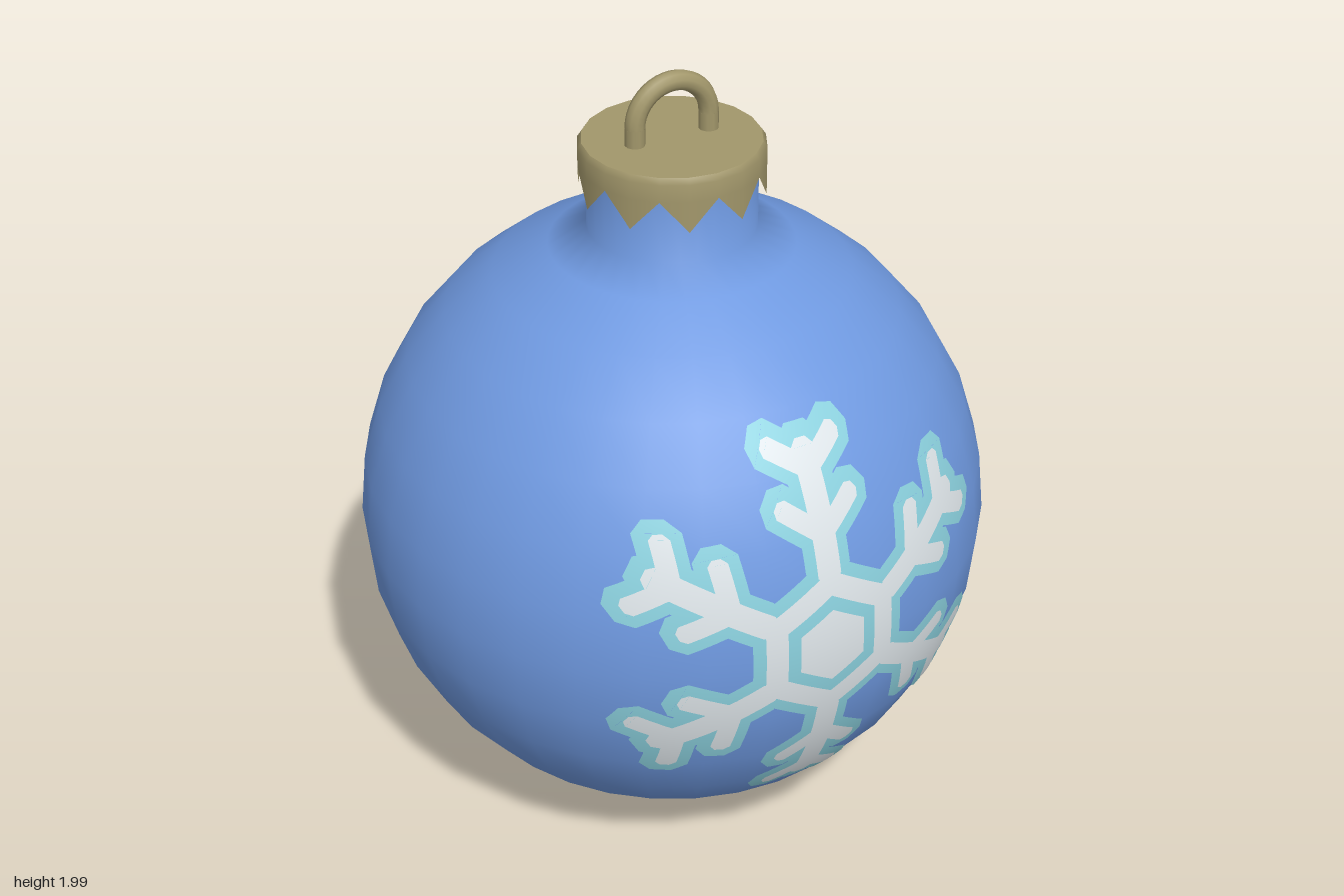
import * as THREE from 'three';
import { mergeGeometries } from 'three/addons/utils/BufferGeometryUtils.js';

const RADIUS = 0.8, CENTRE_Y = 0.81, FLAKE_Y = 0.84;

// Four-cornered patch (counter-clockwise), laid on the ball at a small lift
function patch(a, b, c, d, lift) {
  const nx = Math.max(1, Math.ceil(a.distanceTo(b) / 0.04));
  const ny = Math.max(1, Math.ceil(b.distanceTo(c) / 0.04));
  const geo = new THREE.PlaneGeometry(1, 1, nx, ny);
  const pos = geo.attributes.position, nor = geo.attributes.normal;
  const p = new THREE.Vector3();
  for (let i = 0; i < pos.count; i++) {
    const u = pos.getX(i) + 0.5, v = pos.getY(i) + 0.5;
    const low = a.clone().lerp(b, u), high = d.clone().lerp(c, u);
    const q = low.lerp(high, v);
    const y = q.y + FLAKE_Y - CENTRE_Y, r = RADIUS + lift;
    p.set(q.x, y, Math.sqrt(r * r - q.x * q.x - y * y));
    pos.setXYZ(i, p.x, p.y + CENTRE_Y, p.z);
    p.normalize();
    nor.setXYZ(i, p.x, p.y, p.z);
  }
  return geo;
}

// Straight bar with chamfered ends
function bar(from, to, width, lift) {
  const dir = to.clone().sub(from).normalize();
  const side = new THREE.Vector2(-dir.y, dir.x);
  const at = (base, along, across) =>
    base.clone().addScaledVector(dir, along).addScaledVector(side, across);
  const w = width / 2, cut = width * 0.28, n = w - cut;
  return [
    patch(at(from, cut, -w), at(to, -cut, -w), at(to, -cut, w), at(from, cut, w), lift),
    patch(at(to, -cut, -w), at(to, 0, -n), at(to, 0, n), at(to, -cut, w), lift),
    patch(at(from, 0, -n), at(from, cut, -w), at(from, cut, w), at(from, 0, n), lift),
  ];
}

// Hexagonal ring with a corner at the top
function hexRing(inner, outer, lift) {
  const at = (r, k) => {
    const t = Math.PI / 2 + k * Math.PI / 3;
    return new THREE.Vector2(r * Math.cos(t), r * Math.sin(t));
  };
  return [0, 1, 2, 3, 4, 5].map(k =>
    patch(at(inner, k), at(outer, k), at(outer, k + 1), at(inner, k + 1), lift));
}

// Six branching arms; margin widens every bar for the outline layer
function arms(margin, lift) {
  const parts = [];
  const bars = [
    [0, 0.17, 0, 0.485, 0.062],
    [0, 0.425, 0.1, 0.488, 0.045], [0, 0.425, -0.1, 0.488, 0.045],
    [0, 0.285, 0.105, 0.365, 0.047], [0, 0.285, -0.105, 0.365, 0.047],
  ];
  for (let k = 0; k < 6; k++) {
    for (const [x0, y0, x1, y1, width] of bars) {
      const o = new THREE.Vector2();
      const from = new THREE.Vector2(x0, y0), to = new THREE.Vector2(x1, y1);
      to.addScaledVector(to.clone().sub(from).normalize(), margin);
      from.rotateAround(o, k * Math.PI / 3);
      to.rotateAround(o, k * Math.PI / 3);
      parts.push(...bar(from, to, width + margin * 2, lift));
    }
  }
  return parts;
}

export function createModel() {
  const model = new THREE.Group();
  model.name = 'bauble';
  const material = (name, color, side = THREE.FrontSide) => {
    const m = new THREE.MeshStandardMaterial({ color, side });
    m.name = name;
    return m;
  };
  const blue = material('blue glass', 0x6f99e0);
  const gold = material('dull gold', 0xa2976b, THREE.DoubleSide);
  const cyan = material('ice cyan', 0x8acfdc);
  const white = material('frost white', 0xdfe6ea);
  const add = (name, geo, mat, parent = model) => {
    const mesh = new THREE.Mesh(geo, mat);
    mesh.name = name;
    parent.add(mesh);
    return mesh;
  };

  // Ball and neck in one turned profile
  const profile = [];
  for (let i = 0; i <= 14; i++) {
    const t = i * Math.PI / 16;
    profile.push(new THREE.Vector2(RADIUS * Math.sin(t), CENTRE_Y - RADIUS * Math.cos(t)));
  }
  profile.push(new THREE.Vector2(0.21, 1.597), new THREE.Vector2(0.21, 1.8));
  add('ball', new THREE.LatheGeometry(profile, 32), blue);

  // Cap: band, bevelled rim, flat top
  const cap = new THREE.Group();
  cap.name = 'cap';
  model.add(cap);
  const band = new THREE.LatheGeometry([
    new THREE.Vector2(0.23, 1.77), new THREE.Vector2(0.23, 1.815),
    new THREE.Vector2(0.22, 1.83),
  ], 20);
  add('capBand', band, gold, cap);
  const top = new THREE.CircleGeometry(0.22, 20);
  top.rotateX(-Math.PI / 2).translate(0, 1.83, 0);
  add('capTop', top, gold, cap);

  // Ten pointed teeth around the cap
  const teeth = new THREE.CylinderGeometry(0.23, 0.23, 0.08, 20, 1, true);
  teeth.translate(0, 1.73, 0);
  for (let i = 0; i <= 20; i += 2) teeth.attributes.position.setY(21 + i, 1.77);
  add('capTeeth', teeth, gold, cap);

  // Hanging loop: arch on two legs
  const loop = [new THREE.TorusGeometry(0.1, 0.025, 10, 20, Math.PI).translate(0, 1.875, 0)];
  for (const x of [-0.1, 0.1]) {
    loop.push(new THREE.CylinderGeometry(0.025, 0.025, 0.055, 10, 1, true).translate(x, 1.8475, 0));
  }
  add('hangingLoop', mergeGeometries(loop), gold);

  // Snowflakes on front and back
  const outline = mergeGeometries([...hexRing(0, 0.235, 0.002), ...arms(0.029, 0.002)]);
  const frost = mergeGeometries([...hexRing(0.137, 0.2, 0.005), ...hexRing(0, 0.1, 0.005),
    ...arms(0, 0.005)]);
  for (const side of ['front', 'back']) {
    const flake = new THREE.Group();
    flake.name = side + 'Snowflake';
    add('snowflakeOutline', outline, cyan, flake);
    add('snowflakeFrost', frost, white, flake);
    if (side === 'back') flake.rotation.y = Math.PI;
    model.add(flake);
  }
  return model;
}
